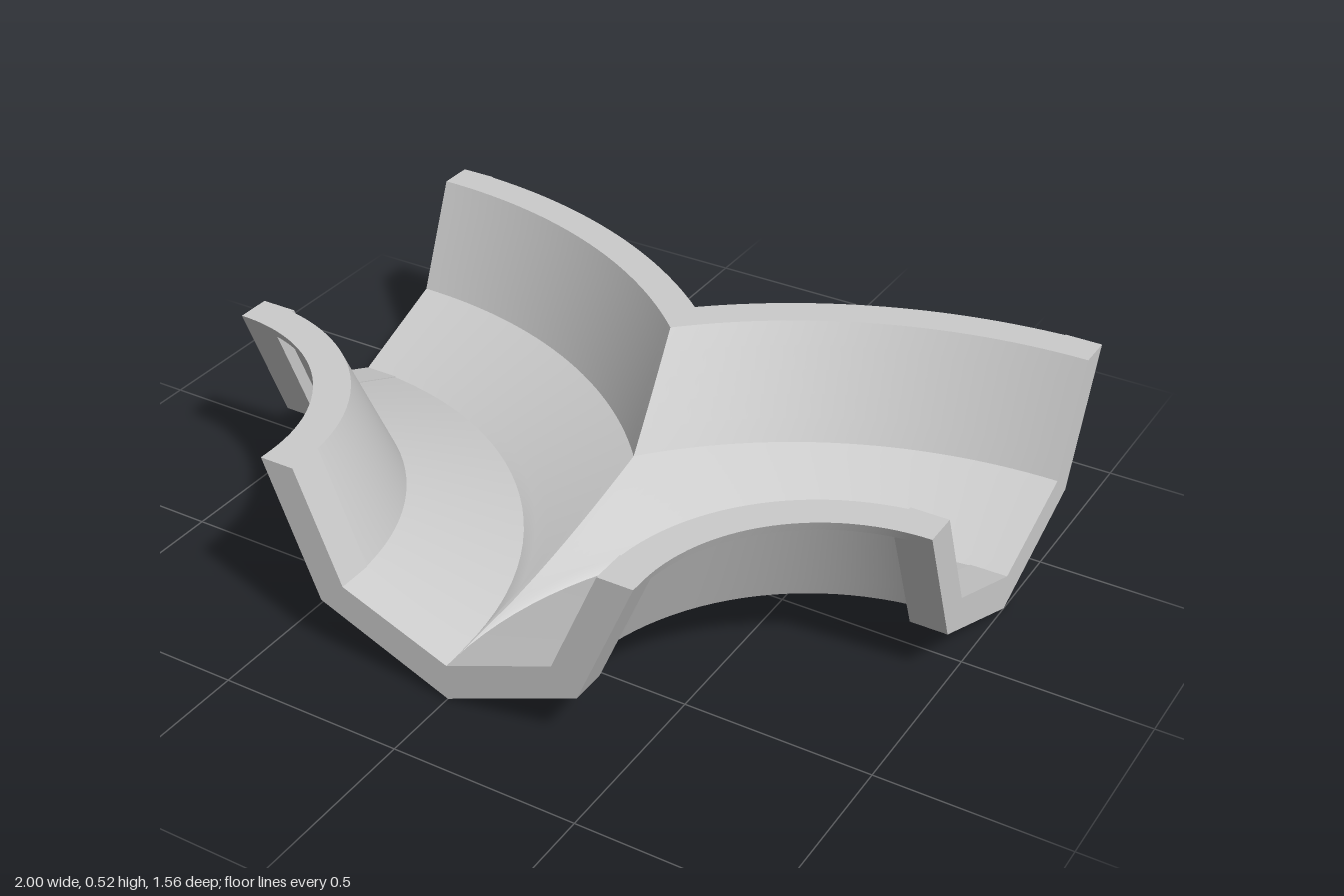
import * as THREE from 'three';
import { mergeGeometries } from 'three/addons/utils/BufferGeometryUtils.js';

// Half profiles as [distance from the valley line, height]
const INNER = [[0.425, 0.52], [0.30, 0.22], [0, 0.10]];
const COLLAR = [[0.52, 0.52], [0.37, 0.155], [0, 0]];
const SHELL = [[0.52, 0.52], [0.508, 0.492], [0.462, 0.492], [0.335, 0.185], [0, 0.05]];

const BEND_Z = 0.74;   // bend centres lie at x = +-1
const FRONT_Z = 0.78;  // front mouth
const STEPS = 28;

// Closed loop: across the inside from -u to +u, then back underneath
function closedProfile(outer) {
  const flip = ([u, y]) => [-u, y];
  return [
    ...INNER.map(flip), ...INNER.slice(0, -1).reverse(),
    ...outer, ...outer.slice(0, -1).reverse().map(flip),
  ];
}

// Sweep one profile edge round the bend; the outer side stops at the x = 0 mitre
function sweepEdge(a, b, side) {
  const cuts = Math.max(1, Math.ceil(Math.abs(b[0] - a[0]) / 0.03));
  const beyond = a[0] + b[0] > 0;
  const rows = beyond ? STEPS : STEPS + 1;
  const pos = [], index = [];
  for (let i = 0; i <= cuts; i++) {
    const k = i / cuts;
    const r = 1 + a[0] + (b[0] - a[0]) * k;
    const y = a[1] + (b[1] - a[1]) * k;
    const end = r > 1 ? Math.asin(1 / r) : Math.PI / 2;
    for (let j = 0; j <= rows; j++) {
      const phi = end * Math.min(j / STEPS, 1);
      const z = j > STEPS ? FRONT_Z : BEND_Z - r * Math.cos(phi);
      pos.push(side * (1 - r * Math.sin(phi)), y, z);
      if (i < cuts && j < rows) {
        const p = i * (rows + 1) + j, q = p + rows + 1;
        if (side > 0) index.push(p, q, p + 1, q, q + 1, p + 1);
        else index.push(p, p + 1, q, q, p + 1, q + 1);
      }
    }
  }
  const g = new THREE.BufferGeometry();
  g.setAttribute('position', new THREE.Float32BufferAttribute(pos, 3));
  g.setIndex(index);
  g.computeVertexNormals();
  return g;
}

export function createModel() {
  const group = new THREE.Group();
  const material = new THREE.MeshStandardMaterial({ color: 0xcccccc, side: THREE.DoubleSide });
  const add = (name, geometry) => {
    const mesh = new THREE.Mesh(geometry, material);
    mesh.name = name;
    group.add(mesh);
    return mesh;
  };

  // Two mirrored curved troughs with a rim lip, meeting on the centre line
  const loop = closedProfile(SHELL);
  for (const side of [1, -1]) {
    const strips = loop.map((p, i) => sweepEdge(p, loop[(i + 1) % loop.length], side));
    add(side > 0 ? 'leftTrough' : 'rightTrough', mergeGeometries(strips));
  }

  // Thicker straight collars at the three mouths
  const shape = new THREE.Shape(closedProfile(COLLAR).map(([u, y]) => new THREE.Vector2(u, y)));
  const collar = new THREE.ExtrudeGeometry(shape, { depth: 0.1, bevelEnabled: false });
  add('frontCollar', collar).position.z = FRONT_Z - 0.1;
  const sideCollar = collar.clone().rotateY(Math.PI / 2);
  add('leftCollar', sideCollar).position.set(0.9, 0, BEND_Z - 1);
  add('rightCollar', sideCollar).position.set(-1, 0, BEND_Z - 1);

  return group;
}
